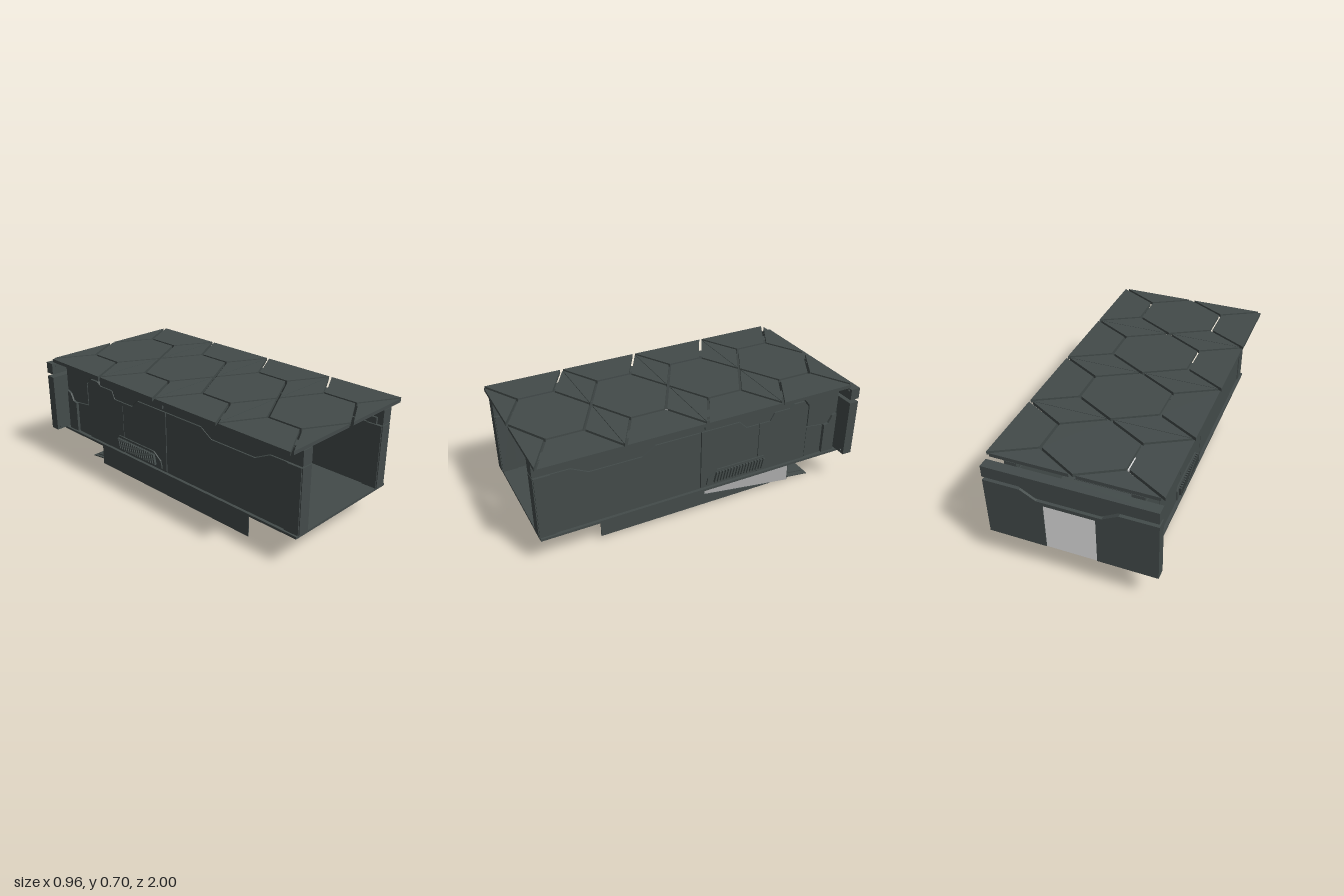
import * as THREE from 'three';

const mat = (name, color, side = THREE.FrontSide) => {
  const m = new THREE.MeshStandardMaterial({ color, side });
  m.name = name;
  return m;
};

export function createModel() {
  const root = new THREE.Group();
  root.name = 'armouredContainer';
  const dark = mat('darkSlate', 0x434b4a, THREE.DoubleSide);
  const light = mat('lightGrey', 0xe2e2e2);
  const mid = mat('midGrey', 0xacacac);
  const warm = mat('warmGrey', 0xa49f9f);

  const add = (name, geo, m) => {
    const mesh = new THREE.Mesh(geo, m);
    mesh.name = name;
    root.add(mesh);
    return mesh;
  };
  const box = (name, x0, x1, y0, y1, z0, z1, m = dark) => {
    const g = new THREE.BoxGeometry(Math.abs(x1 - x0), y1 - y0, z1 - z0);
    return add(name, g.translate((x0 + x1) / 2, (y0 + y1) / 2, (z0 + z1) / 2), m);
  };
  const extrude = (pts, depth) => new THREE.ExtrudeGeometry(
    new THREE.Shape(pts.map(p => new THREE.Vector2(...p))), { depth, bevelEnabled: false });
  // (z, y) outline extruded between x0 and x1
  const sidePanel = (name, pts, x0, x1, m = dark) => {
    const g = extrude(pts, Math.abs(x1 - x0));
    return add(name, g.rotateY(-Math.PI / 2).translate(Math.max(x0, x1), 0, 0), m);
  };
  // (x, y) outline extruded between z0 and z1
  const crossPanel = (name, pts, z0, z1, m = dark) =>
    add(name, extrude(pts, z1 - z0).translate(0, 0, z0), m);

  // Roof tiles: (x, -z) outlines shrunk to leave open seams
  const tile = (pts, gap = 0.008) => {
    const n = pts.length;
    const cx = pts.reduce((a, p) => a + p[0], 0) / n, cy = pts.reduce((a, p) => a + p[1], 0) / n;
    const lines = pts.map((p, i) => {
      const q = pts[(i + 1) % n];
      let nx = q[1] - p[1], ny = p[0] - q[0];
      const l = Math.hypot(nx, ny);
      nx /= l; ny /= l;
      if ((cx - p[0]) * nx + (cy - p[1]) * ny < 0) { nx = -nx; ny = -ny; }
      const outer = Math.abs(nx) > 0.99 && Math.abs(p[0]) > 0.45;
      const d = outer ? 0 : Math.abs(ny) > 0.99 ? 0.0015 : gap;
      return [nx, ny, nx * p[0] + ny * p[1] + d];
    });
    const inset = lines.map((b, i) => {
      const a = lines[(i + n - 1) % n], det = a[0] * b[1] - a[1] * b[0];
      return [(a[2] * b[1] - a[1] * b[2]) / det, (a[0] * b[2] - a[2] * b[0]) / det];
    });
    add('roofTile', extrude(inset, 0.021).rotateX(-Math.PI / 2).translate(0, 0.679, 0), dark);
  };
  const pitch = 0.484;
  for (let i = 0; i < 4; i++) {
    const a = -0.936 + i * pitch, b = a + pitch, p = a + 0.135, q = b - 0.135, w = 0.24, e = 0.482;
    const flip = pts => pts.map(([x, z]) => [x, -z]);
    tile(flip([[0, a], [w, p], [w, q], [0, b], [-w, q], [-w, p]]));
    for (const s of [1, -1]) {
      tile(flip([[s * w, p], [s * e, a], [s * e, b], [s * w, q]]));
      tile(flip([[0, a], [s * e, a], [s * w, p]]));
      tile(flip([[0, b], [s * e, b], [s * w, q]]));
    }
  }

  // Floor
  box('floor', -0.4, 0.4, 0.186, 0.2, -0.97, 0.99);
  for (let i = 0; i < 6; i++) box('floorRib', -0.24, 0.24, 0.2, 0.203, -0.7 + i * 0.24, -0.6 + i * 0.24);

  // Long side walls, mirrored
  const gapLine = [[0.79, 0.579], [0.69, 0.529], [0.38, 0.529], [0.3, 0.579]];
  const rearGap = [[-0.23, 0.579], [-0.28, 0.53], [-0.368, 0.53]];
  const up = pts => pts.map(([z, y]) => [z, y + 0.006]);
  for (const s of [1, -1]) {
    const a = s * 0.312, b = s * 0.382;
    sidePanel('frontWall', [[0.995, 0.2], [0.995, 0.579], ...gapLine, [0.02, 0.579], [0.02, 0.2]], a, b);
    box('wallSeam', a, s * 0.372, 0.2, 0.579, 0.01, 0.024);
    sidePanel('middleWall', [[0.014, 0.2], [0.014, 0.579], ...rearGap, [-0.366, 0.2]], a, b);
    sidePanel('frontUpperWall', [[0.995, 0.672], [0.995, 0.585], ...up(gapLine), [0.014, 0.585], [0.014, 0.672]], a, b);
    sidePanel('rearUpperWall', [[0.014, 0.672], [0.014, 0.585], ...up(rearGap), [-0.44, 0.536], [-0.465, 0.585],
      [-0.58, 0.585], [-0.59, 0.672]], a, b);
    sidePanel('upperTrim', [[0, 0.6], [-0.16, 0.605], [-0.2, 0.63], [-0.38, 0.64], [-0.4, 0.655], [0, 0.655]],
      b, s * 0.392);
    // Rear armour panels over a core
    box('rearCore', a, s * 0.345, 0.2, 0.62, -0.93, -0.46);
    box('rearCoreFront', a, s * 0.345, 0.2, 0.529, -0.46, -0.36);
    sidePanel('rearPanel', [[-0.371, 0.2], [-0.371, 0.53], [-0.445, 0.53], [-0.47, 0.579], [-0.58, 0.579],
      [-0.61, 0.6], [-0.68, 0.6], [-0.712, 0.56], [-0.712, 0.2]], s * 0.345, b);
    sidePanel('rearLowerPanel', [[-0.719, 0.2], [-0.719, 0.412], [-0.836, 0.397], [-0.836, 0.2]], s * 0.345, s * 0.376);
    sidePanel('rearCornerPanel', [[-0.844, 0.2], [-0.844, 0.395], [-0.875, 0.402], [-0.9, 0.45], [-0.93, 0.46],
      [-0.93, 0.2]], s * 0.345, s * 0.388);
    sidePanel('rearUpperPanel', [[-0.719, 0.42], [-0.719, 0.566], [-0.685, 0.609], [-0.6, 0.609], [-0.6, 0.628],
      [-0.93, 0.628], [-0.93, 0.469], [-0.894, 0.459], [-0.868, 0.41], [-0.84, 0.405]], s * 0.345, s * 0.382);
    box('rearTopRail', a, b, 0.64, 0.672, -0.93, -0.59);
    for (let i = 0; i < 14; i++) box('railBlock', a, s * 0.376, 0.628, 0.64, -0.622 - i * 0.023, -0.606 - i * 0.023);
    // Side vent with slanted slats
    sidePanel('ventFrame', [[-0.02, 0.215], [-0.03, 0.26], [-0.09, 0.305], [-0.41, 0.305], [-0.43, 0.28],
      [-0.43, 0.215]], b, s * 0.39);
    for (let i = 0; i < 17; i++) {
      const z = -0.065 - i * 0.02;
      sidePanel('ventSlat', [[z, 0.228], [z - 0.011, 0.228], [z - 0.026, 0.292], [z - 0.015, 0.292]], s * 0.39, s * 0.405);
    }
    // Front posts and roof brackets
    box('frontPost', s * 0.306, s * 0.388, 0.2, 0.579, 0.9, 0.99);
    for (const z of [0.93, 0.3, -0.3, -0.85]) box('roofBracket', s * 0.315, s * 0.375, 0.66, 0.68, z - 0.03, z + 0.03);
    box('bracketClip', s * 0.298, s * 0.314, 0.588, 0.625, 0.9, 0.96);
  }

  // Back wall with doorway and angled seam
  for (const s of [1, -1]) {
    const m = pts => pts.map(([x, y]) => [x * s, y]);
    crossPanel('backLowerWall', m([[0.482, 0.208], [0.482, 0.57], [0.27, 0.57], [0.18, 0.52], [0, 0.52], [0, 0.498],
      [0.145, 0.498], [0.145, 0.208]]), -1, -0.94);
    crossPanel('backUpperWall', m([[0.482, 0.662], [0.482, 0.592], [0.27, 0.592], [0.18, 0.54], [0, 0.54],
      [0, 0.662]]), -1, -0.94);
    for (const [x, y] of [[0.455, 0.645], [0.028, 0.645], [0.455, 0.226]]) {
      const g = new THREE.CylinderGeometry(0.008, 0.008, 0.008, 12).rotateX(Math.PI / 2);
      add('bolt', g.translate(s * x, y, -0.938), dark);
    }
  }

  // Door panel with ornament and ball handle
  box('doorPanel', -0.145, 0.155, 0.205, 0.498, -0.995, -0.925, light);
  for (let i = 0; i < 4; i++) {
    const t = Math.PI / 4 + i * Math.PI / 2;
    const arm = add('doorArm', new THREE.BoxGeometry(0.075, 0.075, 0.012), light);
    arm.position.set(0.005 + Math.cos(t) * 0.1, 0.35 + Math.sin(t) * 0.1, -0.92);
    arm.rotation.z = t;
    const rivet = add('doorRivet', new THREE.SphereGeometry(0.008, 12, 8), mid);
    rivet.position.set(0.005 + Math.cos(t) * 0.165, 0.35 + Math.sin(t) * 0.165, -0.925);
  }
  const ring = add('doorRing', new THREE.CylinderGeometry(0.062, 0.062, 0.016, 24).rotateX(Math.PI / 2), light);
  ring.position.set(0.005, 0.35, -0.918);
  add('ballHandle', new THREE.SphereGeometry(0.042, 24, 16).translate(0.005, 0.35, -0.89), light);
  add('handleStem', new THREE.CylinderGeometry(0.016, 0.016, 0.05, 16).translate(0, 0.395, -0.89), mid);
  for (const x of [-0.06, 0.064])
    add('sideKnob', new THREE.SphereGeometry(0.018, 16, 12).translate(x, 0.37, -0.91), light);

  // Loose cargo
  const crate = (name, size, pos, rot, m) => {
    const c = add(name, new THREE.BoxGeometry(...size), m);
    c.position.set(...pos);
    c.rotation.set(...rot);
  };
  crate('tiltedCrate', [0.13, 0.115, 0.13], [-0.21, 0.268, 0.29], [0.15, 0.3, -0.62], light);
  crate('standingCrate', [0.165, 0.16, 0.16], [-0.202, 0.28, -0.06], [0, 0, 0], mid);
  crate('leftSlab', [0.14, 0.04, 0.12], [0.095, 0.222, -0.25], [0, 0.25, 0.02], light);
  crate('rightSlab', [0.11, 0.035, 0.12], [-0.045, 0.22, -0.25], [0, -0.25, 0.05], light);

  // Under-hull wedge: grey ends, warm underside
  sidePanel('hullWedge', [[0.6, 0.187], [-0.65, 0.187], [-0.65, 0.006]], -0.334, 0.314, [mid, warm]);
  const slopeY = z => 0.003 + 0.181 * (z + 0.65) / 1.25;
  const facet = new THREE.BufferGeometry();
  facet.setAttribute('position', new THREE.Float32BufferAttribute(
    [[0.07, 0.57], [0.313, 0], [0.313, 0.6]].flatMap(([x, z]) => [x, slopeY(z), z]), 3));
  // corners ordered so the facet looks down
  facet.setIndex([0, 2, 1]);
  facet.computeVertexNormals();
  add('hullDarkFacet', facet, dark);
  sidePanel('hullLeftSide', [[0.62, 0.025], [0.62, 0.188], [-0.05, 0.188], [-0.05, 0.093], [-0.52, 0.025]], 0.314, 0.319);
  sidePanel('hullRightSide', [[0.62, 0.012], [0.62, 0.188], [-0.65, 0.188], [-0.65, 0.012]], -0.34, -0.335);
  box('hullBack', -0.335, 0.314, 0.01, 0.187, -0.655, -0.65);

  // Rear ramp flap
  sidePanel('rampFlap', [[-0.65, 0.02], [-0.65, 0.026], [-0.81, 0.006], [-0.81, 0]], -0.3, 0.31);
  for (const x of [-0.28, 0.02])
    sidePanel('rampPad', [[-0.67, 0.021], [-0.67, 0.03], [-0.79, 0.015], [-0.79, 0.006]], x, x + 0.26);
  return root;
}
